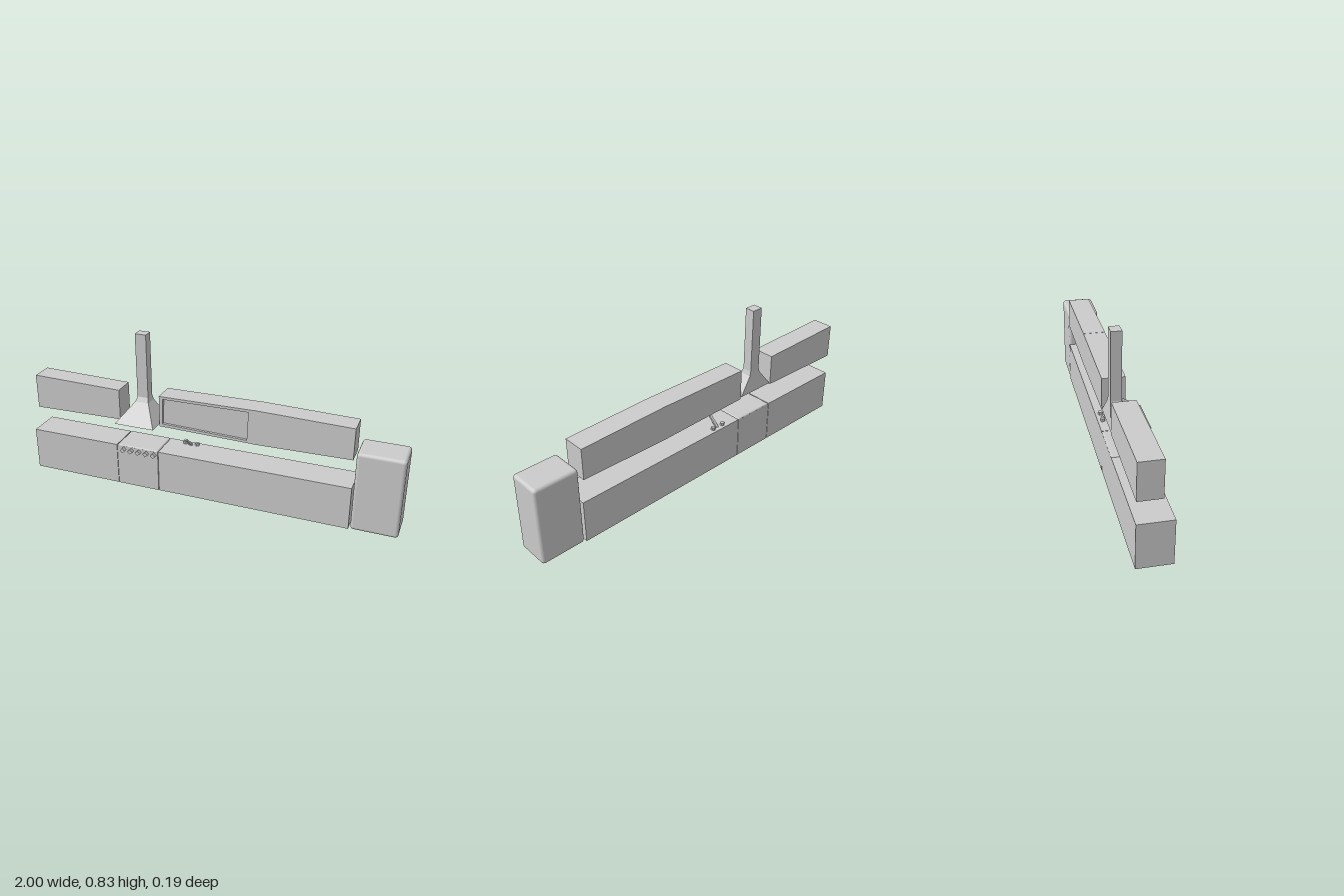
import * as THREE from 'three';
import { RoundedBoxGeometry } from 'three/addons/geometries/RoundedBoxGeometry.js';

const grey = new THREE.MeshStandardMaterial({ color: 0xcccccc, flatShading: true, side: THREE.DoubleSide });
const smooth = new THREE.MeshStandardMaterial({ color: 0xcccccc });
const BACK = -0.095;

function add(parent, name, geometry, material = grey) {
  const mesh = new THREE.Mesh(geometry, material);
  mesh.name = name;
  parent.add(mesh);
  return mesh;
}

// Box given by its lower and upper limits
function span(parent, name, [x0, y0, z0], [x1, y1, z1]) {
  const mesh = add(parent, name, new THREE.BoxGeometry(x1 - x0, y1 - y0, z1 - z0));
  mesh.position.set((x0 + x1) / 2, (y0 + y1) / 2, (z0 + z1) / 2);
  return mesh;
}

// Cabinet whose height changes slightly from one end to the other
function taperedCabinet(parent, name, x0, x1, [low0, high0], [low1, high1], z1) {
  const g = new THREE.BoxGeometry(x1 - x0, 1, z1 - BACK);
  const p = g.attributes.position;
  for (let i = 0; i < p.count; i++) {
    const right = p.getX(i) > 0, top = p.getY(i) > 0;
    p.setY(i, top ? (right ? high1 : high0) : (right ? low1 : low0));
  }
  add(parent, name, g).position.set((x0 + x1) / 2, 0, (z1 + BACK) / 2);
}

// Surface through a stack of rectangles [x0, x1, z0, z1, y]
function loft(rings) {
  const pos = [], index = [], n = rings.length;
  for (const [x0, x1, z0, z1, y] of rings) pos.push(x0, y, z1, x1, y, z1, x1, y, z0, x0, y, z0);
  for (let r = 0; r < n - 1; r++) {
    for (let i = 0; i < 4; i++) {
      const a = r * 4 + i, b = r * 4 + (i + 1) % 4;
      index.push(a, b, b + 4, a, b + 4, a + 4);
    }
  }
  const t = (n - 1) * 4;
  index.push(0, 2, 1, 0, 3, 2, t, t + 1, t + 2, t, t + 2, t + 3);
  const g = new THREE.BufferGeometry();
  g.setAttribute('position', new THREE.Float32BufferAttribute(pos, 3));
  g.setIndex(index);
  g.computeVertexNormals();
  return g;
}

export function createModel() {
  const kitchen = new THREE.Group();
  kitchen.name = 'kitchen';

  // Base cabinets
  for (const [name, x0, x1] of [['leftBaseCabinet', -1, -0.5], ['sinkCabinet', -0.26, 0.25], ['rightBaseCabinet', 0.25, 0.757]]) {
    span(kitchen, name, [x0, 0, BACK], [x1, 0.23, 0.075]);
  }

  // Stove with a row of diamond knobs
  const stove = new THREE.Group();
  stove.name = 'stove';
  kitchen.add(stove);
  span(stove, 'stoveBody', [-0.497, 0, BACK], [-0.263, 0.228, 0.076]);
  add(stove, 'cooktop', new RoundedBoxGeometry(0.234, 0.04, 0.171, 2, 0.008), smooth).position.set(-0.38, 0.214, -0.0095);
  for (let i = 0; i < 5; i++) {
    const knob = add(stove, 'stoveKnob', new THREE.CylinderGeometry(0.014, 0.014, 0.022, 4));
    knob.rotation.x = Math.PI / 2;
    knob.position.set(-0.46 + i * 0.044, 0.21, 0.084);
  }

  // Tap with a leaning spout and two handles
  const tap = new THREE.Group();
  tap.name = 'tap';
  kitchen.add(tap);
  const foot = new THREE.Vector3(-0.13, 0.225, -0.07), tip = new THREE.Vector3(-0.13, 0.295, 0.008);
  const spout = add(tap, 'spout', new THREE.BoxGeometry(0.014, foot.distanceTo(tip), 0.01));
  spout.position.copy(foot).lerp(tip, 0.5);
  spout.rotation.x = Math.atan2(tip.z - foot.z, tip.y - foot.y);
  for (const side of [-1, 1]) {
    const handle = add(tap, 'tapHandle', new THREE.CylinderGeometry(0.012, 0.012, 0.016, 6));
    handle.position.set(-0.13 + side * 0.033, 0.237, -0.07);
  }

  // Wall cabinets
  taperedCabinet(kitchen, 'leftWallCabinet', -1, -0.5, [0.344, 0.532], [0.354, 0.522], 0.02);
  taperedCabinet(kitchen, 'rightWallCabinet', 0.235, 0.743, [0.344, 0.532], [0.354, 0.522], 0.02);
  taperedCabinet(kitchen, 'middleWallCabinet', -0.272, 0.235, [0.354, 0.524], [0.345, 0.531], 0.006);

  // Frame around the recessed front of the middle wall cabinet
  const frame = new THREE.Shape([[-0.272, 0.354], [0.235, 0.345], [0.235, 0.531], [-0.272, 0.524]].map(p => new THREE.Vector2(...p)));
  frame.holes.push(new THREE.Path([[-0.256, 0.37], [-0.25, 0.51], [0.21, 0.516], [0.205, 0.36]].map(p => new THREE.Vector2(...p))));
  add(kitchen, 'cabinetDoorFrame', new THREE.ExtrudeGeometry(frame, { depth: 0.014, bevelEnabled: false })).position.z = 0.006;

  // Cooker hood flaring out below its flue
  add(kitchen, 'cookerHood', loft([
    [-0.495, -0.277, BACK, 0.094, 0.363],
    [-0.425, -0.35, -0.083, -0.015, 0.455],
    [-0.417, -0.357, -0.081, -0.029, 0.48],
    [-0.417, -0.357, -0.081, -0.029, 0.827],
  ]));

  // Refrigerator
  const fridge = add(kitchen, 'refrigerator', new RoundedBoxGeometry(0.235, 0.425, 0.174, 3, 0.017), smooth);
  fridge.position.set(0.8825, 0.2125, -0.008);

  return kitchen;
}
